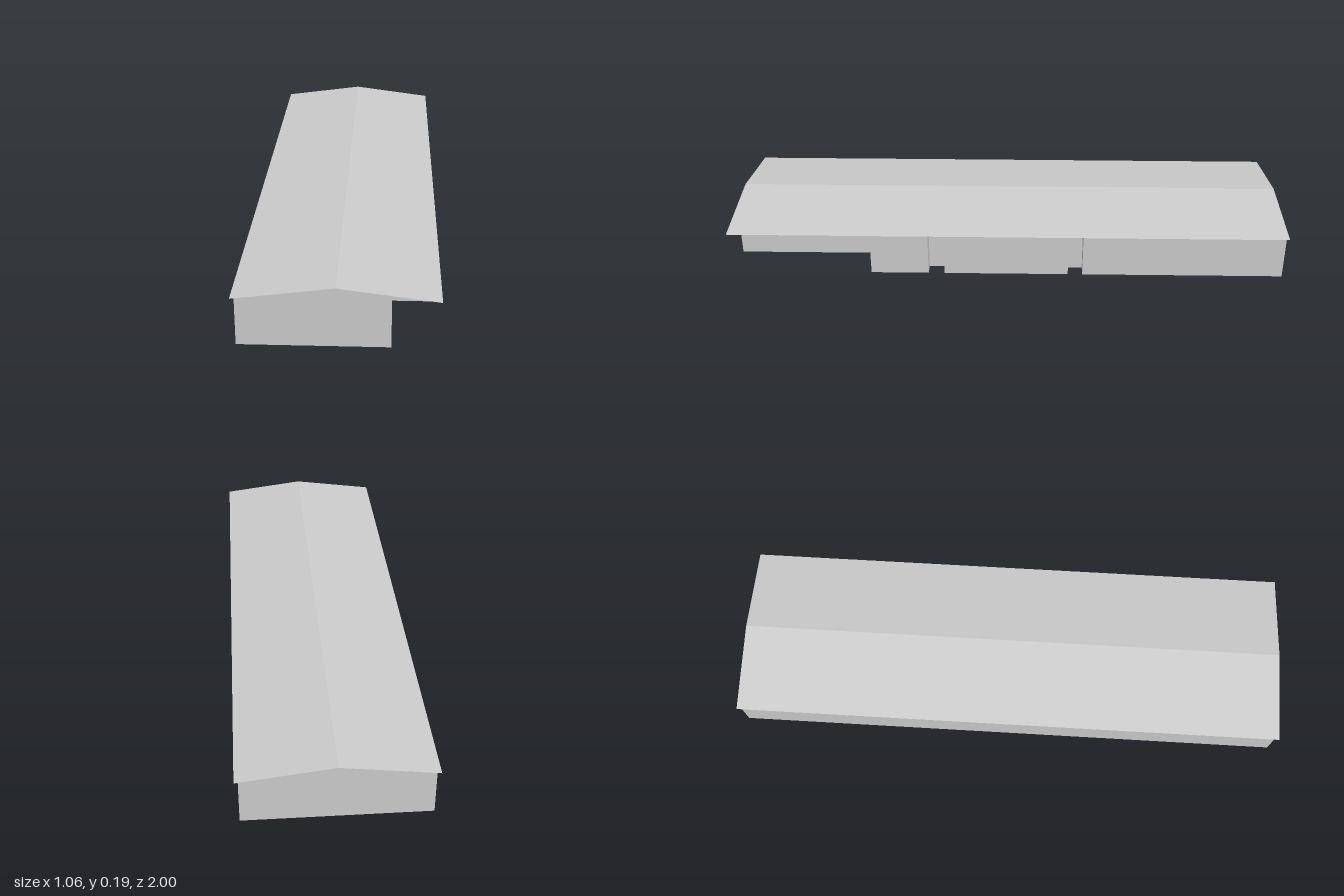
import * as THREE from 'three';

const material = new THREE.MeshStandardMaterial({
  color: 0xcccccc, flatShading: true, side: THREE.DoubleSide,
});

const EAVE = 0.151, RIDGE = 0.19;
const ROOF_X = 0.3, ROOF_Z = 0.953;   // half sizes of the roof
const WALL_X = 0.288, WALL_Z = 0.945; // half sizes of the walls
const PORCH_X = 0.158, NICHE_X = 0.243;

// Height of the roof sheet above a given distance from the ridge line
const roofY = (x) => RIDGE - (RIDGE - EAVE) * Math.abs(x) / ROOF_X;

function addMesh(parent, name, geometry) {
  const mesh = new THREE.Mesh(geometry, material);
  mesh.name = name;
  parent.add(mesh);
  return mesh;
}

// Four corners, counter-clockwise from outside
function quad(a, b, c, d) {
  const g = new THREE.BufferGeometry();
  g.setAttribute('position', new THREE.Float32BufferAttribute([...a, ...b, ...c, ...a, ...c, ...d], 3));
  g.computeVertexNormals();
  return g;
}

export function createModel() {
  const model = new THREE.Group();
  model.name = 'longHouse';
  const building = new THREE.Group();
  building.name = 'building';
  building.rotation.y = -0.2545; // the house stands at an angle to the axes
  model.add(building);

  // Wall outline [x, z]: porch recess at the front corner, two door niches
  const outline = [
    [-WALL_X, WALL_Z], [PORCH_X, WALL_Z], [PORCH_X, 0.468], [WALL_X, 0.468],
    [WALL_X, 0.27], [NICHE_X, 0.27], [NICHE_X, 0.215], [WALL_X, 0.215],
    [WALL_X, -0.21], [NICHE_X, -0.21], [NICHE_X, -0.26], [WALL_X, -0.26],
    [WALL_X, -WALL_Z], [-WALL_X, -WALL_Z],
  ];
  const walls = new THREE.Group();
  walls.name = 'walls';
  building.add(walls);
  outline.forEach(([x0, z0], i) => {
    const [x1, z1] = outline[(i + 1) % outline.length];
    addMesh(walls, 'wallPanel', quad([x0, 0, z0], [x1, 0, z1], [x1, EAVE, z1], [x0, EAVE, z0]));
  });

  // Gable triangles over both end walls
  const triangle = new THREE.Shape([
    new THREE.Vector2(-WALL_X, EAVE), new THREE.Vector2(WALL_X, EAVE),
    new THREE.Vector2(WALL_X, roofY(WALL_X)), new THREE.Vector2(0, RIDGE),
    new THREE.Vector2(-WALL_X, roofY(WALL_X)),
  ]);
  for (const side of [1, -1]) {
    const gable = addMesh(building, side > 0 ? 'frontGable' : 'backGable', new THREE.ShapeGeometry(triangle));
    gable.position.z = side * WALL_Z;
    if (side < 0) gable.rotation.y = Math.PI;
  }

  // Thin pitched roof with a small overhang
  for (const side of [1, -1]) {
    addMesh(building, side > 0 ? 'leftRoofSlope' : 'rightRoofSlope', quad(
      [0, RIDGE, side * ROOF_Z], [side * ROOF_X, EAVE, side * ROOF_Z],
      [side * ROOF_X, EAVE, -side * ROOF_Z], [0, RIDGE, -side * ROOF_Z]));
  }
  return model;
}
